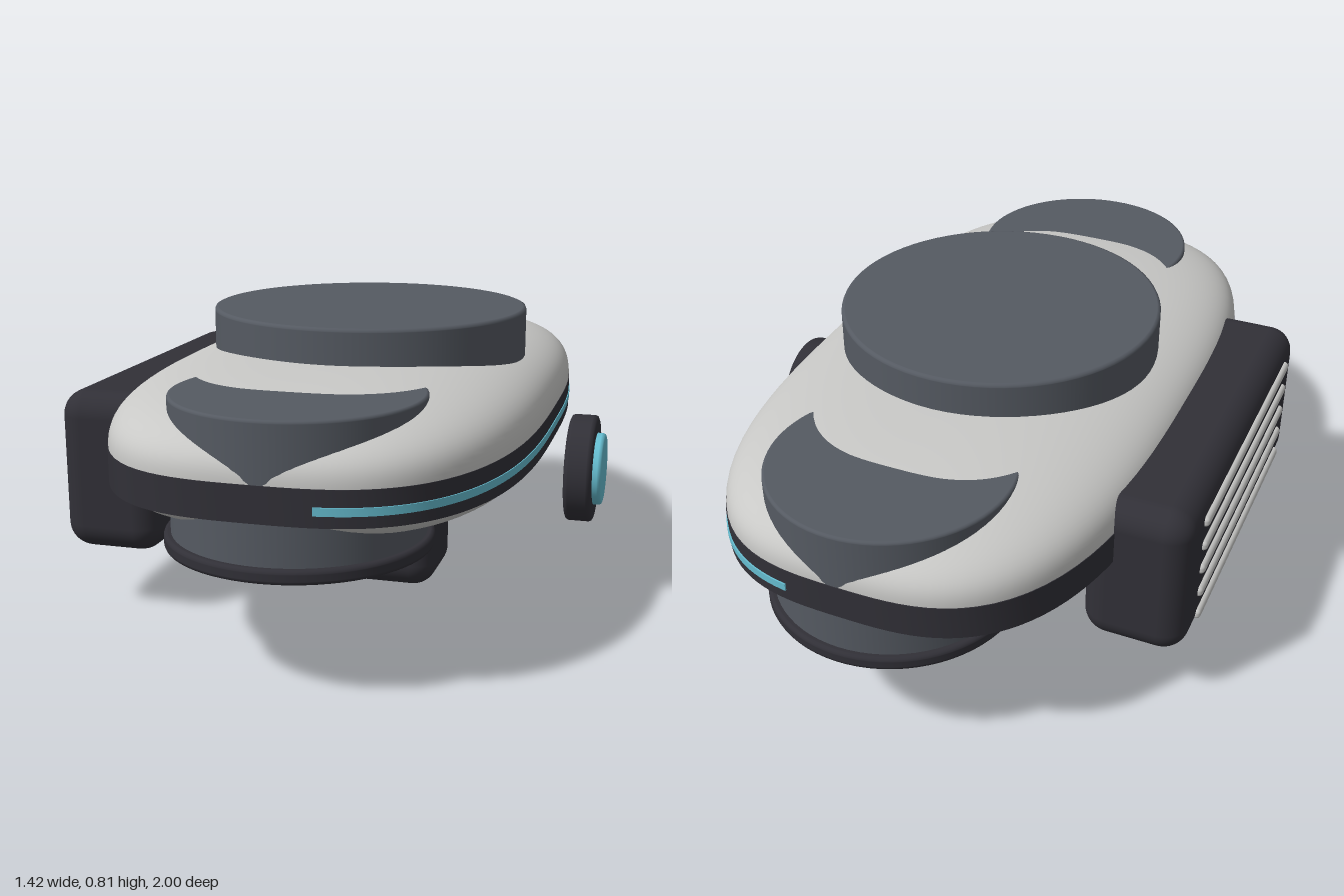
import * as THREE from 'three';
import { toCreasedNormals } from 'three/addons/utils/BufferGeometryUtils.js';
import { RoundedBoxGeometry } from 'three/addons/geometries/RoundedBoxGeometry.js';

const material = (name, color) => {
  const m = new THREE.MeshStandardMaterial({ color });
  m.name = name;
  return m;
};

// Shell centre and half sizes; its sections are all superellipses of power 3
const CENTER = new THREE.Vector3(0.012, 0.525, 0);
const HALF = new THREE.Vector3(0.553, 0.19, 0.982);
const POWER = 3;
const AXIS_X = 0.028; // shared by the drums, feet and lower block

// Sphere pushed out to a superellipsoid, with exact normals
function shellGeometry() {
  const geo = new THREE.SphereGeometry(1, 112, 72);
  const pos = geo.attributes.position, nor = geo.attributes.normal;
  const v = new THREE.Vector3(), n = new THREE.Vector3();
  for (let i = 0; i < pos.count; i++) {
    v.fromBufferAttribute(pos, i);
    const sum = Math.abs(v.x) ** POWER + Math.abs(v.y) ** POWER + Math.abs(v.z) ** POWER;
    v.multiplyScalar(sum ** (-1 / POWER));
    n.set(v.x * Math.abs(v.x), v.y * Math.abs(v.y), v.z * Math.abs(v.z)).divide(HALF).normalize();
    v.multiply(HALF);
    pos.setXYZ(i, v.x, v.y, v.z);
    nor.setXYZ(i, n.x, n.y, n.z);
  }
  return geo;
}

// Points on the plan outline of the shell between two angles
function outline(scale, from, to, steps) {
  const points = [];
  for (let i = 0; i <= steps; i++) {
    const a = from + ((to - from) * i) / steps;
    const c = Math.cos(a), s = Math.sin(a);
    const r = scale * (Math.abs(c) ** POWER + Math.abs(s) ** POWER) ** (-1 / POWER);
    points.push(new THREE.Vector2(c * r * HALF.x, s * r * HALF.z));
  }
  return points;
}

// Plan shape raised to a height
function slab(points, height) {
  const geo = new THREE.ExtrudeGeometry(new THREE.Shape(points), { depth: height, bevelEnabled: false });
  geo.rotateX(-Math.PI / 2);
  return toCreasedNormals(geo, 0.6);
}

// Upright disc from y0 to y1 with softened rims
function disc(radius, y0, y1, b) {
  const e = 0.002, d = b * 0.3;
  const profile = [
    [0, y0], [radius - b - e, y0], [radius - b, y0], [radius - d, y0 + d], [radius, y0 + b], [radius, y0 + b + e],
    [radius, y1 - b - e], [radius, y1 - b], [radius - d, y1 - d], [radius - b, y1], [radius - b - e, y1], [0, y1],
  ];
  return new THREE.LatheGeometry(profile.map(([x, y]) => new THREE.Vector2(x, y)), 72);
}

export function createModel() {
  const model = new THREE.Group();
  const light = material('light grey', 0xc8c8c6);
  const slate = material('slate grey', 0x555a62);
  const dark = material('charcoal', 0x313037);
  const teal = material('pale teal', 0x66bdd0);

  const add = (name, geo, mat, x = 0, y = 0, z = 0) => {
    const mesh = new THREE.Mesh(geo, mat);
    mesh.name = name;
    mesh.position.set(x, y, z);
    model.add(mesh);
    return mesh;
  };

  // Rounded shell
  add('shell', shellGeometry(), light, CENTER.x, CENTER.y, CENTER.z);

  // Dark belt all the way round, light strip round the left side only
  add('belt', slab(outline(1.002, 0, Math.PI * 2, 160).slice(0, -1), 0.09), dark, CENTER.x, 0.45);
  const reach = Math.atan2(1, 0.27);
  const strip = [...outline(1.006, -reach, reach, 90), ...outline(0.998, reach, -reach, 90)];
  add('lightStrip', slab(strip, 0.02), teal, CENTER.x, 0.479);

  // Large central drum, and a drum with a foot at each end
  add('centerDrum', disc(0.4425, 0.5, 0.805, 0.008), slate, AXIS_X);
  for (const [end, side] of [['front', 1], ['back', -1]]) {
    add(end + 'Drum', disc(0.3175, 0.34, 0.69, 0.006), slate, AXIS_X, 0, side * 0.665);
    add(end + 'Foot', disc(0.335, 0.312, 0.348, 0.008), dark, AXIS_X, 0, side * 0.665);
  }

  // Block under the shell
  add('lowerBlock', new RoundedBoxGeometry(0.44, 0.315, 0.28, 6, 0.07), dark, AXIS_X, 0.1575, 0);

  // Side box with five vent bars
  add('sideBox', new RoundedBoxGeometry(0.28, 0.44, 1.07, 6, 0.07), dark, -0.562, 0.395, 0);
  for (let i = 0; i < 5; i++) {
    const bar = new RoundedBoxGeometry(0.03, 0.03, 0.82, 3, 0.012);
    add('ventBar' + (i + 1), bar, light, -0.699, 0.237 + i * 0.076, 0);
  }

  // Round lamp standing off the left side
  const housing = add('lampHousing', disc(0.15, 0, 0.074, 0.01), dark, 0.611, 0.364, 0);
  const lens = add('lampLens', disc(0.101, 0, 0.04, 0.008), teal, 0.668, 0.364, 0);
  housing.rotation.z = lens.rotation.z = -Math.PI / 2;

  return model;
}
